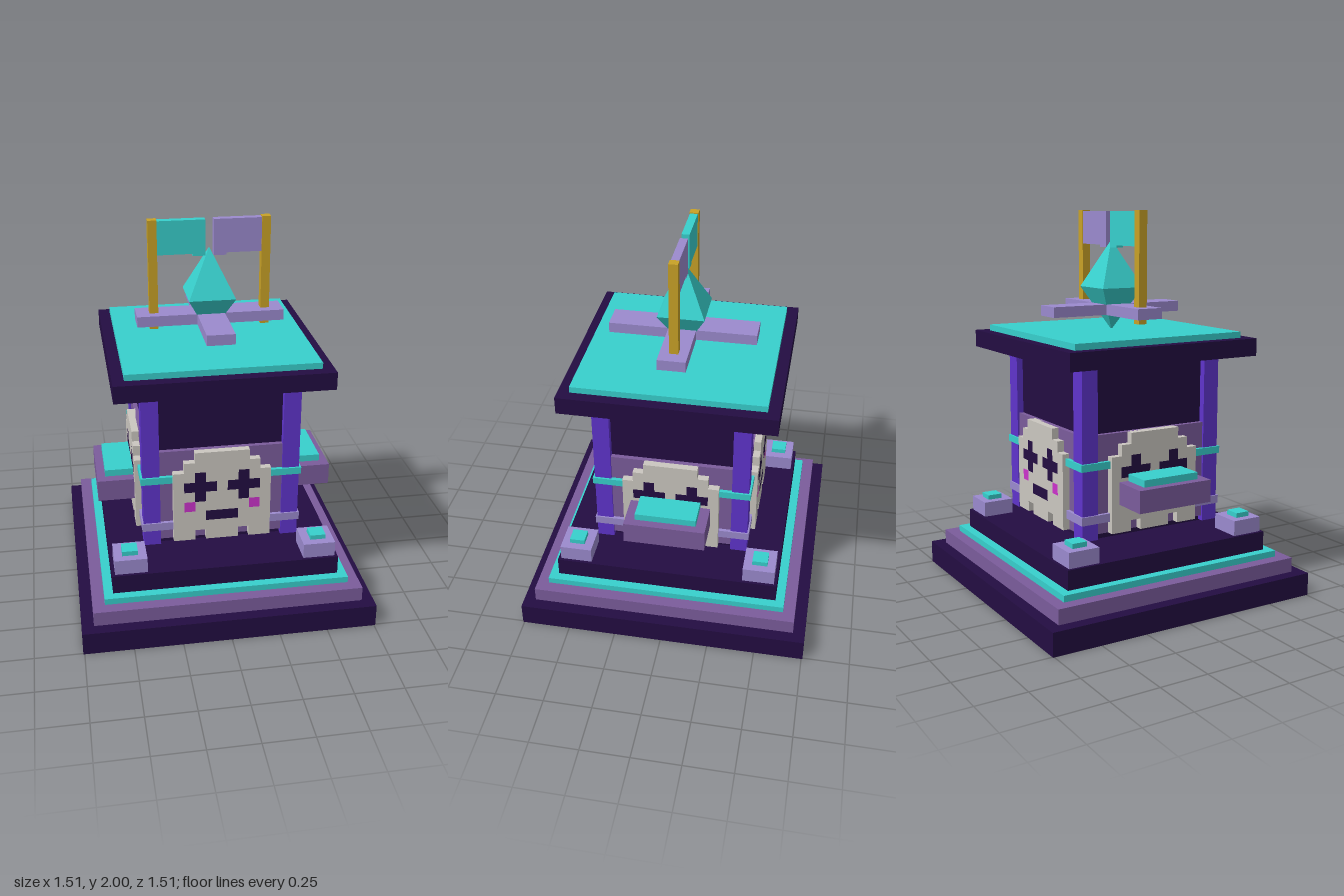
import * as THREE from 'three';

const mat = (name, color) => Object.assign(new THREE.MeshStandardMaterial({ color }), { name });
const M = {
  dark: mat('midnight', 0x230d42),
  purple: mat('dusty purple', 0x7b5c9c),
  teal: mat('teal', 0x38d0cd),
  lavender: mat('lavender', 0x9b8ace),
  violet: mat('violet', 0x5f34cc),
  gold: mat('gold', 0xc9a227),
  bone: mat('bone', 0xcbc7c0),
  pink: mat('pink', 0xcc33cc),
};

// Box from its minimum and maximum corners
function box(parent, name, m, x0, x1, y0, y1, z0, z1) {
  const g = new THREE.BoxGeometry(x1 - x0, y1 - y0, z1 - z0);
  g.translate((x0 + x1) / 2, (y0 + y1) / 2, (z0 + z1) / 2);
  const mesh = new THREE.Mesh(g, m);
  mesh.name = name;
  parent.add(mesh);
  return mesh;
}
const slab = (p, name, m, h, y0, y1) => box(p, name, m, -h, h, y0, y1, -h, h);

// Pixel face: b bone, d dark, p pink, space empty
const FACE = [
  '  bbbbb  ',
  ' bbbbbbb ',
  'bbdbbbdbb',
  'bdddbdddb',
  'bbdbbbdbb',
  'bpbbbbbpb',
  'bbbdddbbb',
  'bbbbbbbbb',
  'bb bbb bb',
];
const CELL = 0.0561;

function skullPanel() {
  const g = new THREE.Group();
  g.name = 'skullPanel';
  box(g, 'panelBack', M.purple, -0.33, 0.33, 0.41, 0.915, 0.36, 0.395);
  const mats = { b: M.bone, d: M.dark, p: M.pink };
  const names = { b: 'skullPixels', d: 'faceHollow', p: 'cheek' };
  FACE.forEach((row, r) => {
    // One box for each run of equal cells
    for (let i = 0; i < 9;) {
      let j = i;
      while (j < 9 && row[j] === row[i]) j++;
      const k = row[i];
      if (k !== ' ') {
        const top = 0.915 - r * CELL;
        box(g, names[k], mats[k], (i - 4.5) * CELL, (j - 4.5) * CELL, top - CELL, top, 0.385, 0.432);
      }
      i = j;
    }
  });
  return g;
}

export function createModel() {
  const root = new THREE.Group();
  root.name = 'shrineTower';

  // Stepped base
  slab(root, 'baseStep', M.dark, 0.757, 0, 0.12);
  slab(root, 'middleStep', M.purple, 0.695, 0.12, 0.197);
  slab(root, 'tealTrim', M.teal, 0.633, 0.197, 0.23);
  slab(root, 'upperStep', M.dark, 0.587, 0.23, 0.33);

  // Tower core, bands and roof
  slab(root, 'core', M.dark, 0.37, 0.378, 1.265);
  slab(root, 'tealBand', M.teal, 0.415, 0.743, 0.78);
  slab(root, 'lavenderBand', M.lavender, 0.413, 0.47, 0.513);
  slab(root, 'roof', M.dark, 0.543, 1.265, 1.355);
  slab(root, 'roofTop', M.teal, 0.484, 1.355, 1.387);

  // Corner columns and corner lamps
  for (const sx of [-1, 1]) for (const sz of [-1, 1]) {
    const block = (name, m, a, b, y0, y1) => {
      const c = (a + b) / 2, h = (b - a) / 2;
      box(root, name, m, sx * c - h, sx * c + h, y0, y1, sz * c - h, sz * c + h);
    };
    block('column', M.violet, 0.317, 0.405, 0.384, 1.265);
    block('lampBlock', M.lavender, 0.405, 0.572, 0.33, 0.41);
    block('lampTop', M.teal, 0.45, 0.53, 0.41, 0.435);
  }

  // A skull on each wall, and a ledge on the left and right walls
  for (let i = 0; i < 4; i++) {
    const wall = skullPanel();
    if (i % 2) {
      box(wall, 'ledge', M.purple, -0.21, 0.21, 0.557, 0.672, 0.43, 0.623);
      box(wall, 'ledgeTop', M.teal, -0.158, 0.158, 0.672, 0.708, 0.43, 0.58);
    }
    wall.rotation.y = i * Math.PI / 2;
    root.add(wall);
  }

  // Floating cross
  box(root, 'crossArmX', M.lavender, -0.378, 0.378, 1.465, 1.52, -0.071, 0.071);
  box(root, 'crossArmZ', M.lavender, -0.071, 0.071, 1.4655, 1.5195, -0.378, 0.378);

  // Four-sided crystal
  const crystal = (name, h, y, flip) => {
    const g = new THREE.ConeGeometry(0.12 * Math.SQRT2, h, 4, 1, true).toNonIndexed();
    g.rotateY(Math.PI / 4);
    if (flip) g.rotateX(Math.PI);
    g.computeVertexNormals();
    const mesh = new THREE.Mesh(g, M.teal);
    mesh.position.y = y;
    mesh.name = name;
    root.add(mesh);
  };
  crystal('crystalTop', 0.245, 1.605 + 0.1225, false);
  crystal('crystalBottom', 0.225, 1.605 - 0.1125, true);

  // Flag poles and flags
  for (const [s, m] of [[-1, M.teal], [1, M.lavender]]) {
    const part = (name, mt, a, b, y0, y1, d) =>
      box(root, name, mt, Math.min(s * a, s * b), Math.max(s * a, s * b), y0, y1, -d, d);
    part('flagPole', M.gold, 0.265, 0.31, 1.435, 2, 0.023);
    part('flag', m, 0.022, 0.265, 1.822, 1.995, 0.02);
    part('flagTip', m, 0.022, 0.085, 1.81, 1.822, 0.02);
  }
  return root;
}
